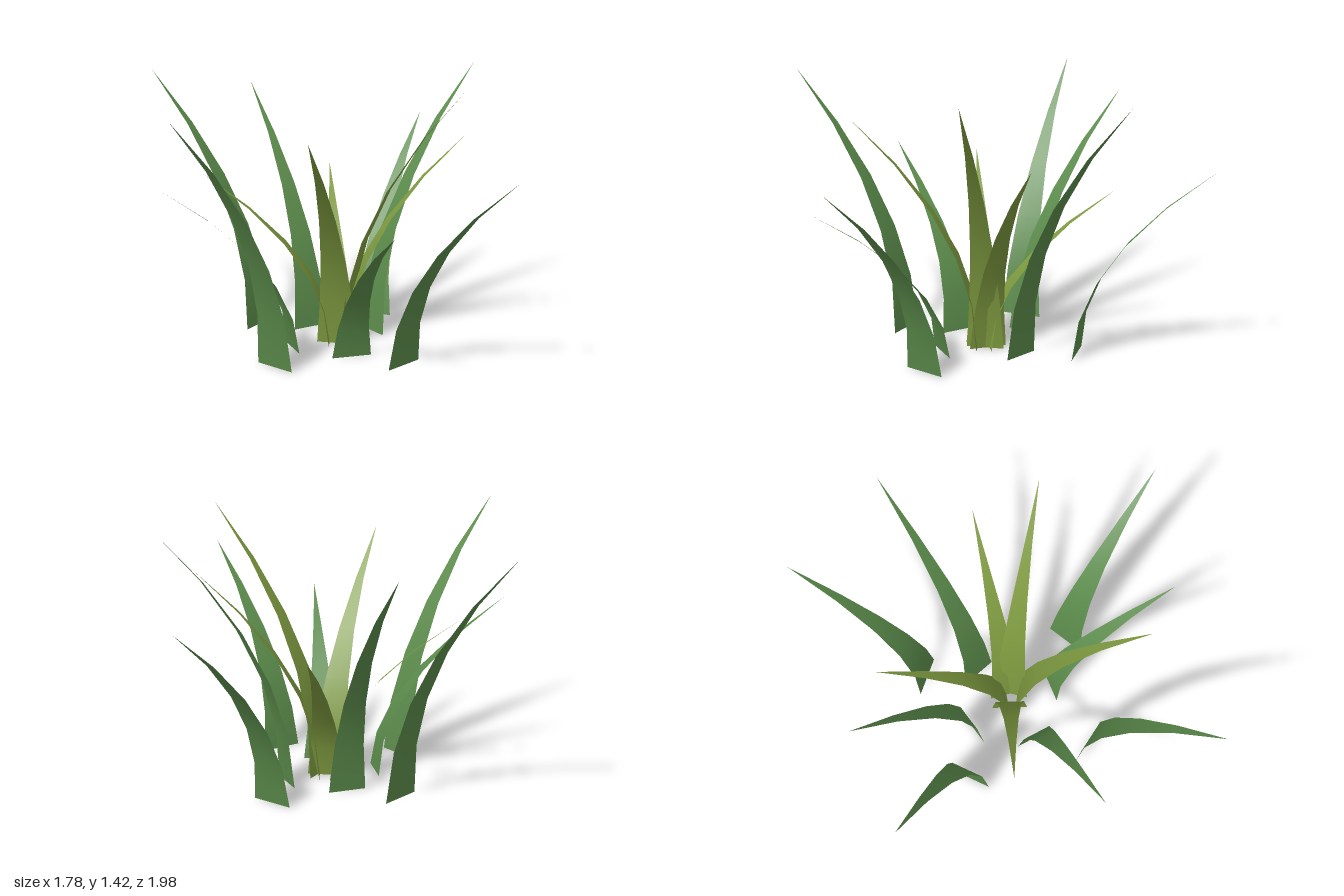
import * as THREE from 'three';

// Flat blade: height grows evenly, the outward lean grows with the square, width tapers to a point.
function bladeGeometry([bx, bz, tx, tz, height, halfWidth]) {
  const geo = new THREE.PlaneGeometry(2, 1, 2, 5);
  const pos = geo.attributes.position;
  const dx = tx - bx, dz = tz - bz;
  const len = Math.hypot(dx, dz);
  const sx = -dz / len, sz = dx / len; // sideways direction
  for (let i = 0; i < pos.count; i++) {
    const t = pos.getY(i) + 0.5;
    const w = pos.getX(i) * halfWidth * (1 - t);
    pos.setXYZ(i, bx + dx * t * t + sx * w, height * t, bz + dz * t * t + sz * w);
  }
  geo.computeVertexNormals();
  return geo;
}

// Each blade: base x, base z, tip x, tip z, height, half width
const outer = [
  [-0.335, -0.335, -0.86, -0.80, 1.365, 0.113],
  [-0.06, -0.24, -0.30, -0.89, 1.27, 0.1],
  [0.32, -0.415, 0.72, -0.99, 1.04, 0.112],
  [0.26, -0.125, 0.89, -0.44, 1.42, 0.1],
  [-0.205, 0.07, -0.89, 0.225, 0.93, 0.1],
  [-0.335, 0.335, -0.86, 0.80, 1.385, 0.113],
  [0.08, 0.25, 0.15, 0.94, 0.83, 0.105],
  [0.32, 0.415, 0.72, 0.99, 1.08, 0.112],
];
const inner = [
  [0.055, -0.01, 0.125, -0.70, 0.82, 0.1],
  [0.01, -0.01, -0.64, -0.17, 0.91, 0.1],
  [0.09, 0, 0.74, 0, 1.115, 0.1],
  [0.09, 0.015, 0.66, 0.33, 1.425, 0.1],
  [0.04, 0.04, -0.21, 0.66, 1.23, 0.11],
];

export function createModel() {
  const model = new THREE.Group();
  model.name = 'grassTuft';
  const leafGreen = new THREE.MeshStandardMaterial({ color: 0x5a8a4a, side: THREE.DoubleSide });
  leafGreen.name = 'leaf green';
  const oliveGreen = new THREE.MeshStandardMaterial({ color: 0x7d993f, side: THREE.DoubleSide });
  oliveGreen.name = 'olive green';

  const addRing = (name, blades, material) => {
    const ring = new THREE.Group();
    ring.name = name + 's';
    blades.forEach((blade, i) => {
      const mesh = new THREE.Mesh(bladeGeometry(blade), material);
      mesh.name = name + (i + 1);
      ring.add(mesh);
    });
    model.add(ring);
  };
  addRing('outerBlade', outer, leafGreen);
  addRing('innerBlade', inner, oliveGreen);
  return model;
}
